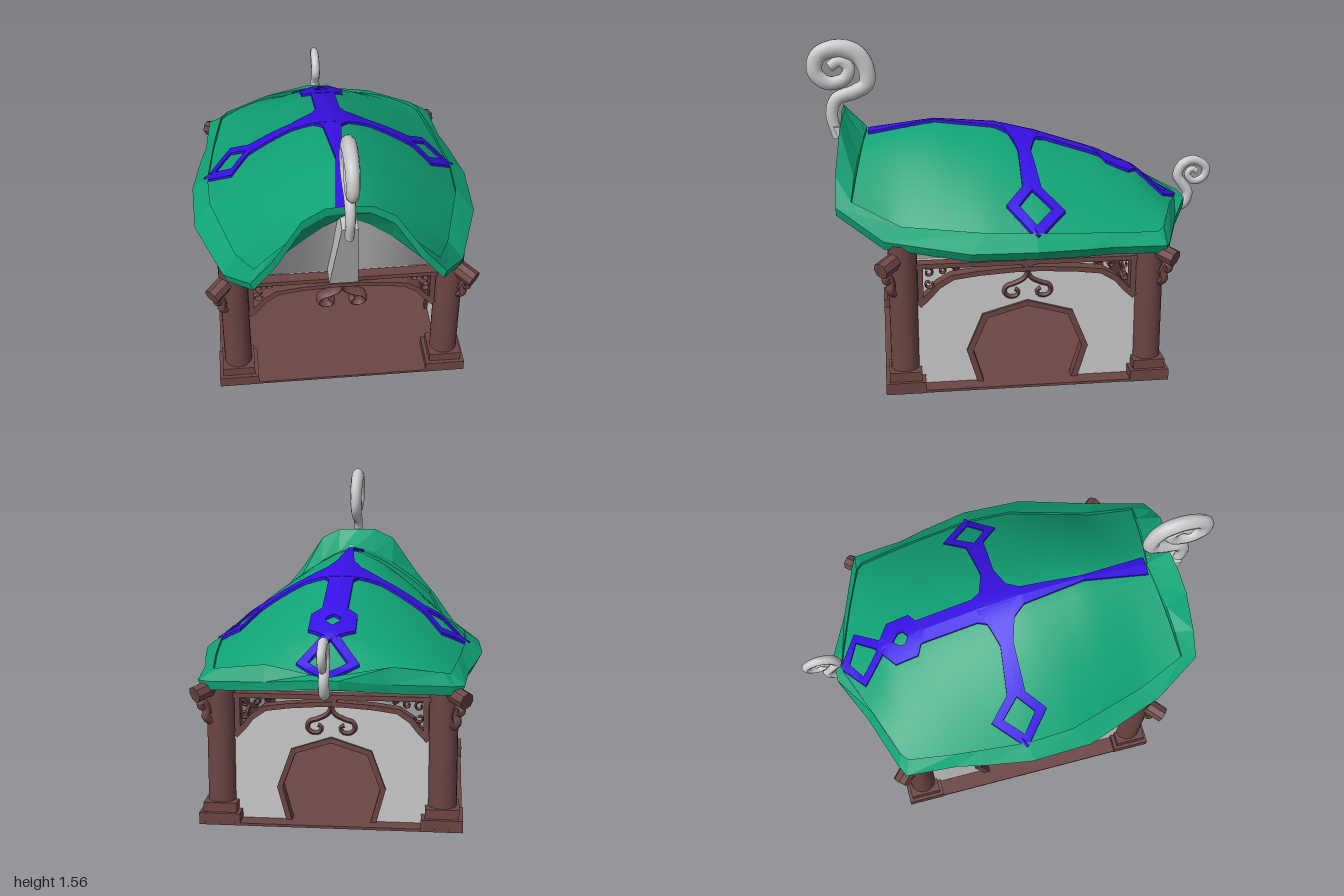
import * as THREE from 'three';

const mat = (color, extra = {}) => new THREE.MeshStandardMaterial({ color, side: THREE.DoubleSide, ...extra });
const GREY = mat(0xcccccc), GREY_FLAT = mat(0xcccccc, { flatShading: true });
const BROWN = mat(0x6c4644, { flatShading: true }), BROWN_SMOOTH = mat(0x6c4644);
const GREEN = mat(0x10a376), GREEN_FLAT = mat(0x10a376, { flatShading: true });
const BLUE = mat(0x3610e4, { flatShading: true });

function add(parent, name, geo, material, x = 0, y = 0, z = 0) {
  const m = new THREE.Mesh(geo, material);
  m.name = name;
  m.position.set(x, y, z);
  parent.add(m);
  return m;
}

// Surface through rows of points [x, y, z]
function loft(rows, closed = false) {
  const n = rows[0].length, index = [];
  for (let i = 0; i < rows.length - 1; i++)
    for (let j = 0; j < (closed ? n : n - 1); j++) {
      const a = i * n + j, b = i * n + (j + 1) % n;
      index.push(a, b, a + n, b, b + n, a + n);
    }
  const g = new THREE.BufferGeometry();
  g.setAttribute('position', new THREE.Float32BufferAttribute(rows.flat(2), 3));
  g.setIndex(index);
  g.computeVertexNormals();
  return g;
}

// Tube in the xy plane whose radius tapers from r0 through rMid to r1
function taperTube(pts, r0, rMid, r1, flat = 1, seg = 40, sides = 8) {
  const curve = new THREE.CatmullRomCurve3(pts.map(([x, y]) => new THREE.Vector3(x, y, 0)));
  const g = new THREE.TubeGeometry(curve, seg, 1, sides), p = g.attributes.position;
  for (let i = 0; i <= seg; i++) {
    const t = i / seg, c = curve.getPointAt(t);
    const r = t < 0.5 ? r0 + (rMid - r0) * t * 2 : rMid + (r1 - rMid) * (t * 2 - 1);
    for (let j = 0; j <= sides; j++) {
      const k = i * (sides + 1) + j;
      p.setXYZ(k, c.x + (p.getX(k) - c.x) * r, c.y + (p.getY(k) - c.y) * r, p.getZ(k) * r * flat);
    }
  }
  g.computeVertexNormals();
  return g;
}

function extrude(shape, depth) {
  return new THREE.ExtrudeGeometry(shape, { depth, bevelEnabled: false, curveSegments: 10 }).translate(0, 0, -depth / 2);
}
const shapeOf = pts => new THREE.Shape(pts.map(([x, y]) => new THREE.Vector2(x, y)));

// Roof height rule: eave, ridge and half width along z
function table(rows, z) {
  if (z <= rows[0][0]) return rows[0][1];
  for (let i = 1; i < rows.length; i++) if (z <= rows[i][0]) {
    const [a, u] = rows[i - 1], [b, v] = rows[i];
    return u + (v - u) * (z - a) / (b - a);
  }
  return rows[rows.length - 1][1];
}
const RIDGE = [[-0.82, 0.72], [-0.75, 0.755], [-0.6, 0.88], [-0.4, 0.975], [-0.1, 1.075], [0.1, 1.125], [0.4, 1.15], [0.74, 1.11]];
const EAVE = [[-0.65, 0.7], [0, 0.745], [0.6, 0.76], [0.8, 0.86]];
const WIDTH = [[-0.62, 0.53], [-0.3, 0.58], [-0.02, 0.61], [0.2, 0.6], [0.58, 0.49], [0.8, 0.41]];
function height(x, z) {
  const e = table(EAVE, z), t = Math.min(1, Math.abs(x) / table(WIDTH, z));
  return e + (table(RIDGE, z) - e) * (1 - t ** 1.5);
}

// Raised strip over the roof along [x, z, half width] points
function strip(pts, closed = false) {
  const n = pts.length, rows = [], edge = pts.map((p, i) => {
    const a = pts[closed ? (i + n - 1) % n : Math.max(0, i - 1)], b = pts[closed ? (i + 1) % n : Math.min(n - 1, i + 1)];
    const dx = b[0] - a[0], dz = b[1] - a[1], l = Math.hypot(dx, dz), k = (closed ? 1.25 : 1) * p[2] / l;
    return [p[0] - dz * k, p[1] + dx * k, p[0] + dz * k, p[1] - dx * k];
  });
  for (let i = 0; i < (closed ? n : n - 1); i++)
    for (let s = 0; s <= 6; s++) {
      const e = edge[i].map((v, k) => v + (edge[(i + 1) % n][k] - v) * s / 6);
      rows.push([[0, -0.01], [0, 0.014], [0.5, 0.014], [1, 0.014], [1, -0.01]].map(([u, up]) => {
        const x = e[0] + (e[2] - e[0]) * u, z = e[1] + (e[3] - e[1]) * u;
        return [x, height(x, z) + up, z];
      }));
    }
  return loft(rows);
}

function buildRoof() {
  const roof = new THREE.Group();
  roof.name = 'roof';
  // Domed covering
  const rows = [], N = 28;
  for (let i = 0; i <= N; i++) {
    const s = i / N, w = table(WIDTH, -0.62 + 1.42 * s), row = [];
    for (let j = 0; j <= N; j++) {
      const t = 1 - 2 * j / N, a = Math.abs(t), zb = -0.82 + 0.2 * a, z = zb + (0.72 + 0.08 * a - zb) * s;
      row.push([t * w, height(t * w, z), z]);
    }
    rows.push(row);
  }
  add(roof, 'roofDome', loft(rows), GREEN);

  // Flared rim: inner [x, z] and outer [x, y, z], front centre to back centre
  const inner = [[0, 0.72], [0.1, 0.74], [0.2, 0.765], [0.31, 0.785], [0.41, 0.8], [0.49, 0.58], [0.6, 0.2], [0.61, -0.02],
    [0.585, -0.25], [0.57, -0.38], [0.535, -0.6], [0.5, -0.635], [0.28, -0.715], [0.06, -0.8], [0, -0.82]];
  const outer = [[0, 1.22, 0.82], [0.1, 1.22, 0.83], [0.2, 1.17, 0.845], [0.33, 0.98, 0.87], [0.43, 0.86, 0.87], [0.55, 0.73, 0.66],
    [0.68, 0.7, 0.28], [0.69, 0.7, -0.02], [0.65, 0.69, -0.25], [0.62, 0.685, -0.38], [0.6, 0.675, -0.63], [0.55, 0.675, -0.655],
    [0.28, 0.7, -0.75], [0.06, 0.735, -0.85], [0, 0.735, -0.85]];
  const around = f => {
    const half = inner.map((p, i) => f(p, outer[i]));
    return [...half, ...half.slice(1, -1).reverse().map(([x, y, z]) => [-x, y, z])];
  };
  const low = around(([x, z]) => [x, height(x, z) - 0.035, z]);
  add(roof, 'roofRim', loft([low, around(([x, z]) => [x, height(x, z) + 0.02, z]), around((p, o) => o),
    around((p, [x, y, z]) => [x * 0.97, y - 0.04, z]), low], true), GREEN_FLAT);

  // Underside, gable and flat ceiling
  const base = low.map(([x, , z]) => [Math.max(-0.47, Math.min(0.47, x)), 0.62, Math.max(-0.54, Math.min(0.56, z))]);
  add(roof, 'roofUnderside', loft([base, low], true), GREY);
  add(roof, 'ceiling', new THREE.BoxGeometry(0.94, 0.01, 1.1), GREY_FLAT, 0, 0.62, 0.01);

  // Blue ornament
  for (const [pts, closed] of [
    [[[0, 0.715, 0.045], [0, 0.4, 0.013], [0, 0.1, 0.045], [0, 0.04, 0.09], [0, -0.07, 0.09], [0, -0.13, 0.06], [0, -0.42, 0.06]]],
    [[[0, -0.42, 0.035], [0.07, -0.46, 0.035], [0.07, -0.53, 0.035], [0, -0.585, 0.035], [-0.07, -0.53, 0.035], [-0.07, -0.46, 0.035]], true],
    [[[0, -0.59, 0.025], [0.115, -0.72, 0.02], [0, -0.8, 0.02], [-0.115, -0.72, 0.02]], true],
    ...[1, -1].flatMap(s => [
      [[[0, -0.02, 0.1], [0.1 * s, -0.02, 0.06], [0.19 * s, -0.02, 0.032], [0.4 * s, -0.03, 0.045]]],
      [[[0.385 * s, -0.03, 0.023], [0.49 * s, -0.145, 0.023], [0.6 * s, -0.03, 0.023], [0.49 * s, 0.07, 0.023]], true]])
  ]) add(roof, 'roofOrnament', strip(pts, closed), BLUE);

  // Tapered gable post leaning forward
  const post = new THREE.BoxGeometry(1, 1, 1), p = post.attributes.position;
  for (let i = 0; i < p.count; i++) {
    const top = p.getY(i) > 0;
    p.setXYZ(i, p.getX(i) * (top ? 0.07 : 0.135), top ? 1.14 : 0.63, (top ? 0.81 : 0.6) + p.getZ(i) * (top ? 0.14 : 0.12));
  }
  add(roof, 'gablePost', post, GREY_FLAT);

  // Curled finials; path runs in [z, y]
  const finial = (name, pts, ...r) => { add(roof, name, taperTube(pts, ...r, 80, 10), GREY).rotation.y = -Math.PI / 2; };
  finial('frontFinial', [[0.86, 1.08], [0.885, 1.2], [0.86, 1.27], [0.77, 1.305], [0.715, 1.34], [0.715, 1.42], [0.76, 1.49], [0.85, 1.515],
    [0.94, 1.48], [0.955, 1.4], [0.9, 1.35], [0.82, 1.365], [0.795, 1.42], [0.84, 1.455], [0.885, 1.425]], 0.026, 0.046, 0.026, 0.75);
  finial('backFinial', [[-0.79, 0.68], [-0.86, 0.68], [-0.885, 0.74], [-0.855, 0.79], [-0.83, 0.83], [-0.855, 0.89], [-0.915, 0.91],
    [-0.975, 0.87], [-0.965, 0.82], [-0.915, 0.8], [-0.88, 0.835], [-0.905, 0.865], [-0.93, 0.85]], 0.028, 0.025, 0.014, 0.9);
  return roof;
}

const spiral = (cx, cy, r, a0, turn) => Array.from({ length: 10 }, (_, i) => {
  const t = i / 9, a = a0 + turn * t, q = r * (1 - 0.7 * t);
  return [cx + Math.cos(a) * q, cy + Math.sin(a) * q];
});

// One side of the pavilion: arch with scrollwork, optionally a wall with a doorway
function buildSide(name, half, withWall) {
  const g = new THREE.Group(), k = half / 0.45;
  g.name = name;
  const archTop = [[-0.45, 0.42], [-0.41, 0.46], [-0.37, 0.51], [-0.31, 0.55], [-0.2, 0.565], [-0.05, 0.575]].map(([x, y]) => [x * k, y]);
  const arch = [...archTop, ...archTop.map(([x, y]) => [-x, y]).reverse()];
  add(g, 'archBand', extrude(shapeOf([...arch, ...arch.map(([x, y]) => [x * 0.96, y - 0.022]).reverse()]), 0.06), BROWN);
  add(g, 'topRail', new THREE.BoxGeometry(half * 2, 0.022, 0.06), BROWN, 0, 0.598, 0);
  add(g, 'archCrown', new THREE.BoxGeometry(0.05, 0.03, 0.05), BROWN, 0, 0.58, 0);
  for (const s of [1, -1]) {
    add(g, 'archPost', new THREE.BoxGeometry(0.025, 0.19, 0.06), BROWN, s * (half - 0.02), 0.51, 0);
    const flip = pts => pts.map(([x, y]) => [x * s, y]);
    // Hanging scroll
    add(g, 'centreScroll', taperTube(flip([[-0.005, 0.56], [0.015, 0.52], [0.06, 0.495], [0.1, 0.48], [0.108, 0.45], [0.085, 0.43],
      [0.05, 0.435], [0.045, 0.46], [0.06, 0.465]]), 0.014, 0.014, 0.012, 2.2, 30), BROWN_SMOOTH);
    // Spandrel curls
    for (const [x, y, r, a] of [[0.4, 0.56, 0.025, 1], [0.4, 0.505, 0.022, 3], [0.345, 0.567, 0.018, 2], [0.29, 0.575, 0.013, 0]])
      add(g, 'spandrelCurl', taperTube(flip(spiral(x * k, y, r, a, 6)), 0.007, 0.006, 0.005, 2.5, 20, 6), BROWN_SMOOTH);
  }
  if (!withWall) return g;
  const door = d => {
    const r = [[0.205 - d, 0], [0.25 - d, 0.17], [0.185 - d * 0.8, 0.35 - d * 0.7], [0, 0.41 - d]].map(([x, y]) => [x * k, y]);
    return [...r, ...r.slice(0, 3).reverse().map(([x, y]) => [-x, y])];
  };
  add(g, 'wall', extrude(shapeOf([[-half, 0], ...arch.map(([x, y]) => [x, y - 0.01]), [half, 0], ...door(0.01)]), 0.03), GREY_FLAT);
  add(g, 'doorFrame', extrude(shapeOf([...door(0), ...door(0.026).reverse()]), 0.06), BROWN);
  return g;
}

function buildPillar(sx, sz) {
  const g = new THREE.Group();
  g.name = 'pillar';
  const top = sz > 0 ? 0.71 : 0.67;
  add(g, 'pillarFoot', new THREE.BoxGeometry(0.19, 0.055, 0.185), BROWN, 0, 0.0275, 0);
  add(g, 'pillarPlinth', new THREE.BoxGeometry(0.155, 0.045, 0.15), BROWN, 0, 0.077, 0);
  add(g, 'pillarShaft', new THREE.CylinderGeometry(0.066, 0.066, top - 0.1, 20), BROWN_SMOOTH, 0, (top + 0.1) / 2, 0);
  // Diagonal beam end with a curled bracket below
  const corner = new THREE.Group();
  corner.name = 'cornerBeam';
  corner.rotation.y = Math.atan2(-sz, sx);
  const log = add(corner, 'beamEnd', new THREE.CylinderGeometry(0.04, 0.04, 0.18, 8), BROWN, 0.055, 0.635, 0);
  log.rotation.z = Math.PI / 2 - 0.25;
  log.rotation.z = -Math.PI / 2 - 0.25;
  add(corner, 'beamBracket', taperTube([[0.06, 0.48], [0.085, 0.5], [0.08, 0.54], [0.1, 0.58], [0.115, 0.56], [0.1, 0.545]],
    0.018, 0.018, 0.014, 1.2, 20), BROWN_SMOOTH);
  add(corner, 'bracketCurl', taperTube(spiral(0.08, 0.51, 0.025, 2, 6), 0.012, 0.011, 0.009, 1.4, 20), BROWN_SMOOTH);
  g.add(corner);
  g.position.set(sx * 0.508, 0, sz > 0 ? 0.578 : -0.567);
  return g;
}

export function createModel() {
  const model = new THREE.Group();
  model.name = 'pavilion';
  add(model, 'floor', new THREE.BoxGeometry(1.2, 0.012, 1.33), BROWN, 0, 0.006, 0.005);
  for (const sx of [1, -1]) for (const sz of [1, -1]) model.add(buildPillar(sx, sz));
  const place = (side, x, z, turn) => { side.position.set(x, 0, z); side.rotation.y = turn; model.add(side); };
  place(buildSide('frontArch', 0.45, false), 0, 0.575, 0);
  place(buildSide('backWall', 0.45, true), 0, -0.565, Math.PI);
  place(buildSide('leftWall', 0.515, true), 0.505, 0.005, Math.PI / 2);
  place(buildSide('rightWall', 0.515, true), -0.505, 0.005, -Math.PI / 2);
  model.add(buildRoof());
  return model;
}
